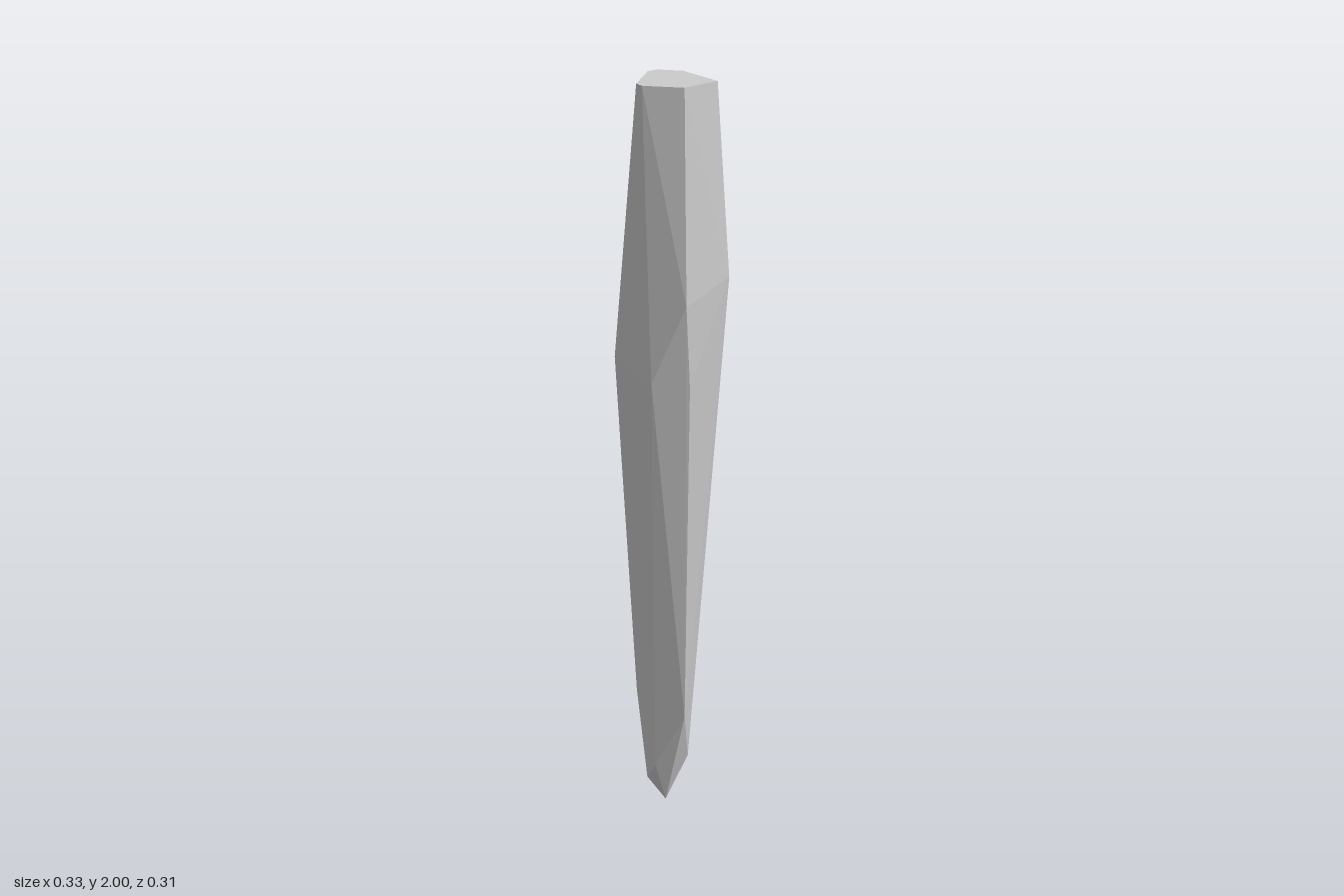
import * as THREE from 'three';
import { ConvexGeometry } from 'three/addons/geometries/ConvexGeometry.js';

// Corner rings of the faceted spike, from the flat cut top to the pointed foot
const rings = {
  cutTop: [
    [-0.095, 2, -0.042], [-0.03, 2, -0.08], [0.135, 2, -0.042], [0.135, 2, 0.088],
    [0.032, 2, 0.148], [0, 2, 0.137], [-0.095, 2, -0.008],
  ],
  shoulder: [
    [0.018, 1.82, -0.155], [0.163, 1.46, -0.058], [0.163, 1.4, 0.11],
    [0.01, 1.25, -0.14], [-0.128, 1.22, 0.087],
  ],
  waist: [
    [0.072, 1.18, 0.153], [0.152, 1.17, 0.085], [0.068, 0.95, -0.074], [-0.165, 0.92, -0.077],
  ],
  taper: [
    [-0.05, 0.36, -0.068], [-0.09, 0.3, 0.04], [0.07, 0.24, 0.02],
  ],
  foot: [
    [0.02, 0.12, -0.045], [-0.015, 0.1, 0.045], [-0.06, 0.06, 0.03],
    [-0.045, 0.025, -0.01], [-0.02, 0, 0],
  ],
};

export function createModel() {
  const group = new THREE.Group();
  group.name = 'stoneSpike';

  // One faceted shard wrapped around all corner rings
  const corners = Object.values(rings).flat().map((p) => new THREE.Vector3(...p));
  const shard = new THREE.Mesh(
    new ConvexGeometry(corners),
    new THREE.MeshStandardMaterial({ color: 0xcccccc, flatShading: true }),
  );
  shard.name = 'shard';
  group.add(shard);
  return group;
}
